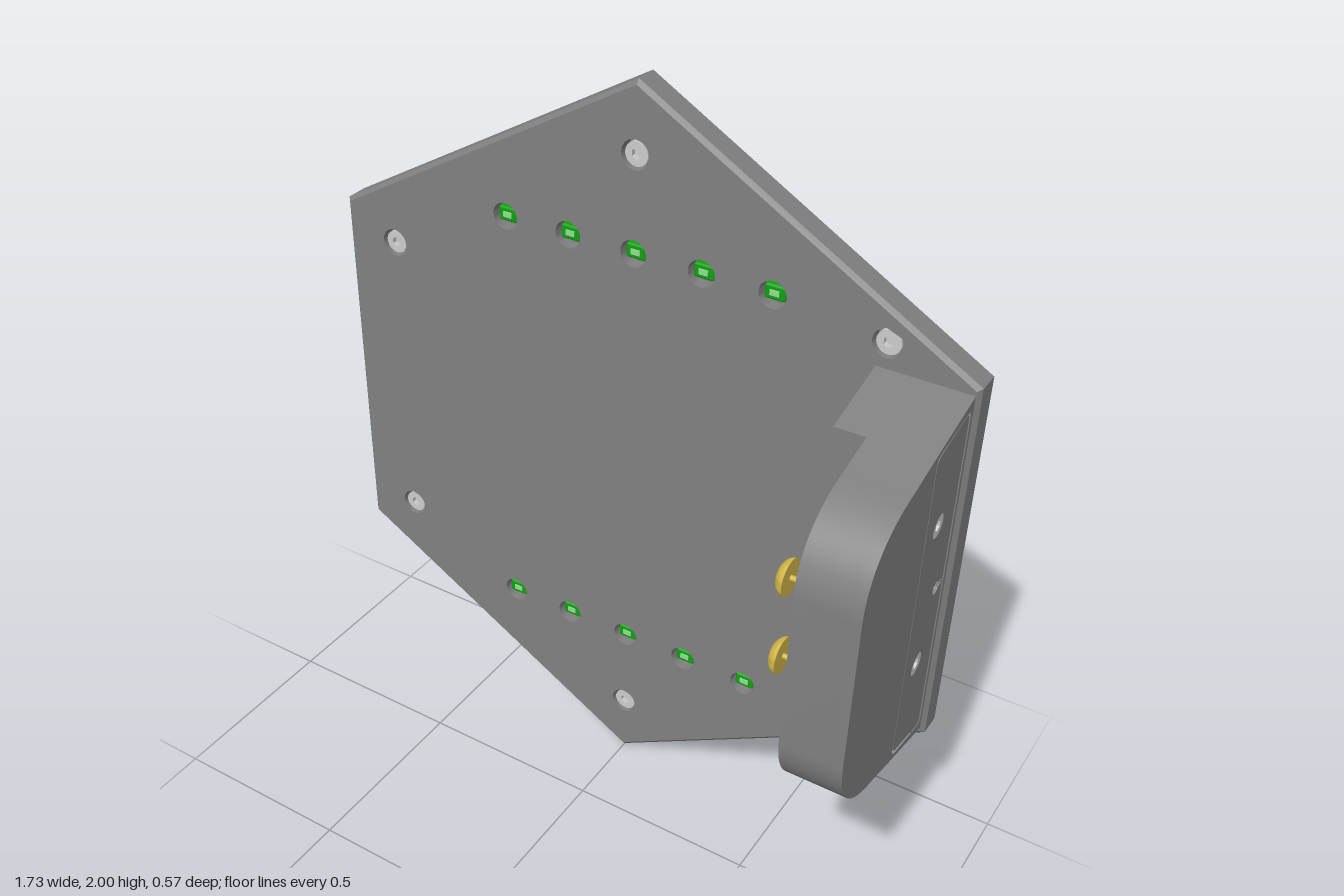
import * as THREE from 'three';
import { toCreasedNormals } from 'three/addons/utils/BufferGeometryUtils.js';
import { RoundedBoxGeometry } from 'three/addons/geometries/RoundedBoxGeometry.js';

const material = (color) => new THREE.MeshStandardMaterial({ color });
const DARK = material(0x808080);
const STEEL = material(0xcccccc);
const GOLD = material(0xd4b84a);
const GREEN = material(0x12a012);
const LENS = material(0x8fe08f);

const BACK = -0.285, MID = -0.25, FRONT = -0.215, CHAMFER = 0.01;

function add(parent, name, geometry, mat) {
  const mesh = new THREE.Mesh(geometry, mat);
  mesh.name = name;
  parent.add(mesh);
  return mesh;
}

const circle = (x, y, r) => new THREE.Path().absarc(x, y, r, 0, Math.PI * 2, true);

function polygon(sides, r, Type = THREE.Shape) {
  const points = [];
  for (let i = 0; i < sides; i++) {
    const a = Math.PI / 2 + (i * Math.PI * 2) / sides;
    points.push(new THREE.Vector2(r * Math.cos(a), r * Math.sin(a)));
  }
  return new Type(points);
}

function extrude(shape, depth) {
  const g = new THREE.ExtrudeGeometry(shape, { depth, bevelEnabled: false, curveSegments: 20 });
  return toCreasedNormals(g, 0.5);
}

// One slice of the hexagonal plate; the rim of its front can be drawn in
function plateLayer(holes, z0, z1, rimScale = 1) {
  const shape = polygon(6, 1);
  shape.holes = holes;
  const g = new THREE.ExtrudeGeometry(shape, { depth: z1 - z0, bevelEnabled: false, curveSegments: 12 });
  const p = g.attributes.position;
  for (let i = 0; i < p.count; i++) {
    if (p.getZ(i) > 1e-5 && Math.hypot(p.getX(i), p.getY(i)) > 0.98) {
      p.setXY(i, p.getX(i) * rimScale, p.getY(i) * rimScale);
    }
  }
  return toCreasedNormals(g, 0.6).translate(0, 1, z0);
}

// Socket screw head with its top at z = 0, facing +z
function screw(name) {
  const g = new THREE.Group();
  g.name = name;
  const head = new THREE.Shape().absarc(0, 0, 0.03, 0, Math.PI * 2, false);
  head.holes.push(polygon(6, 0.014, THREE.Path));
  add(g, 'screwHead', extrude(head, 0.014).translate(0, 0, -0.014), STEEL);
  add(g, 'socketFloor', new THREE.CylinderGeometry(0.03, 0.018, 0.014, 24).rotateX(Math.PI / 2).translate(0, 0, -0.021), STEEL);
  return g;
}

// Side outline of the handle; u runs towards the back, v is up from the middle
function gripShape() {
  const s = new THREE.Shape();
  s.moveTo(0.228, -0.486);
  s.lineTo(-0.03, -0.424);
  s.quadraticCurveTo(-0.07, -0.412, -0.1, -0.406);
  s.bezierCurveTo(-0.21, -0.385, -0.285, -0.31, -0.285, -0.2);
  s.lineTo(-0.285, 0.2);
  s.bezierCurveTo(-0.285, 0.31, -0.21, 0.385, -0.1, 0.406);
  s.quadraticCurveTo(-0.07, 0.412, -0.03, 0.424);
  s.lineTo(0.228, 0.486);
  s.closePath();
  return s;
}

// Cover outline with rounded corners, grown by e
function coverOutline(Type, e) {
  const c = 0.02, u0 = 0.035 - e, u1 = 0.197 + e, v0 = 0.42 + e, v1 = 0.452 + e;
  const s = new Type();
  s.moveTo(u0, -v0 + c);
  s.lineTo(u0, v0 - c);
  s.quadraticCurveTo(u0, v0, u0 + c, v0 + 0.004);
  s.lineTo(u1 - c, v1 - 0.004);
  s.quadraticCurveTo(u1, v1, u1, v1 - c);
  s.lineTo(u1, -v1 + c);
  s.quadraticCurveTo(u1, -v1, u1 - c, -v1 + 0.004);
  s.lineTo(u0 + c, -v0 - 0.004);
  s.quadraticCurveTo(u0, -v0, u0, -v0 + c);
  return s;
}

// Extrudes a side outline along x
const sideExtrude = (shape, x0, x1) => extrude(shape, x1 - x0).rotateY(Math.PI / 2).translate(x0, 1, 0);

function buildPlate(root) {
  const plate = new THREE.Group();
  plate.name = 'plate';
  const frontScrews = [[0, 0.825], [0, -0.825], [-0.715, 0.413], [-0.715, -0.413], [0.645, 0.545], [0.645, -0.545]];
  const backScrews = [[0.71, 0.435], [0.71, -0.435]];
  const lights = [];
  for (const y of [0.58, -0.58]) for (let i = -2; i <= 2; i++) lights.push([i * 0.1815, y]);

  // Back slice: blind corner holes, pilot holes and screw recesses
  const backHoles = [];
  for (let i = 0; i < 6; i++) {
    const a = Math.PI / 2 + (i * Math.PI) / 3;
    backHoles.push(circle(0.9 * Math.cos(a), 0.9 * Math.sin(a), 0.03));
  }
  frontScrews.forEach(([x, y]) => backHoles.push(circle(x, y, 0.013)));
  backScrews.forEach(([x, y]) => backHoles.push(circle(x, y, 0.034)));
  add(plate, 'plateBack', plateLayer(backHoles, BACK, MID), DARK);

  // Front slices: screw and light recesses, chamfered rim
  const frontHoles = () => [
    ...frontScrews.map(([x, y]) => circle(x, y, 0.037)),
    ...lights.map(([x, y]) => circle(x, y, 0.035)),
  ];
  add(plate, 'plateFront', plateLayer(frontHoles(), MID, FRONT - CHAMFER), DARK);
  add(plate, 'plateRim', plateLayer(frontHoles(), FRONT - CHAMFER, FRONT, 0.988), DARK);

  for (const [x, y] of frontScrews) {
    const s = screw('frontScrew');
    s.position.set(x, y + 1, FRONT - 0.006);
    plate.add(s);
  }
  for (const [x, y] of backScrews) {
    const s = screw('backScrew');
    s.rotation.y = Math.PI;
    s.position.set(x, y + 1, BACK + 0.006);
    plate.add(s);
  }
  // Small green lights
  for (const [x, y] of lights) {
    const light = new THREE.Group();
    light.name = 'light';
    light.position.set(x, y + 1, 0);
    add(light, 'lightBody', new RoundedBoxGeometry(0.054, 0.038, 0.024, 2, 0.006).translate(0, 0, -0.238), GREEN);
    add(light, 'lightLens', new THREE.BoxGeometry(0.024, 0.014, 0.004).translate(0, 0, -0.225), LENS);
    plate.add(light);
  }
  root.add(plate);
}

function buildHandle(root) {
  const handle = new THREE.Group();
  handle.name = 'handle';
  add(handle, 'grip', sideExtrude(gripShape(), 0.7, 0.835), DARK);

  // Outer skin with a pocket for the cover
  const skin = gripShape();
  skin.holes.push(coverOutline(THREE.Path, 0.006));
  add(handle, 'gripSkin', sideExtrude(skin, 0.835, 0.855), DARK);

  // Foot on the inner side
  const foot = new THREE.Shape([[0.228, -0.486], [0.228, 0.486], [0.015, 0.434], [0.015, -0.434]]
    .map(([u, v]) => new THREE.Vector2(u, v)));
  add(handle, 'foot', sideExtrude(foot, 0.623, 0.7), DARK);

  // Cover with screw holes and a keyhole
  const cover = coverOutline(THREE.Shape, 0);
  cover.holes.push(circle(0.115, 0.2, 0.036), circle(0.115, -0.2, 0.036));
  const key = new THREE.Path();
  key.absarc(0.158, 0, 0.018, 0.5, Math.PI * 2 - 0.5, false);
  key.lineTo(0.19, -0.009);
  key.lineTo(0.19, 0.009);
  cover.holes.push(key);
  add(handle, 'cover', sideExtrude(cover, 0.835, 0.854), DARK);
  for (const side of [1, -1]) {
    const s = screw('coverScrew');
    s.rotation.y = Math.PI / 2;
    s.position.set(0.85, 1 + side * 0.2, -0.115);
    handle.add(s);
  }

  // Gold domed studs pointing inwards
  const profile = [[0, 0]];
  for (let i = 0; i <= 8; i++) {
    const a = (i / 8) * Math.PI / 2;
    profile.push([0.046 * Math.cos(a), 0.03 * Math.sin(a)]);
  }
  const points = profile.map(([r, h]) => new THREE.Vector2(Math.max(r, 0), h));
  for (const y of [1.12, 0.895]) {
    const stud = new THREE.Group();
    stud.name = 'stud';
    stud.position.set(0.622, y, 0.128);
    const dome = toCreasedNormals(new THREE.LatheGeometry(points, 32), 0.6).rotateZ(Math.PI / 2);
    add(stud, 'studDome', dome, GOLD);
    add(stud, 'studPin', new THREE.CylinderGeometry(0.007, 0.007, 0.09, 16).rotateZ(Math.PI / 2).translate(0.04, 0, 0), GOLD);
    handle.add(stud);
  }
  root.add(handle);
}

export function createModel() {
  const root = new THREE.Group();
  root.name = 'hexagonalPanelWithHandle';
  buildPlate(root);
  buildHandle(root);
  return root;
}
